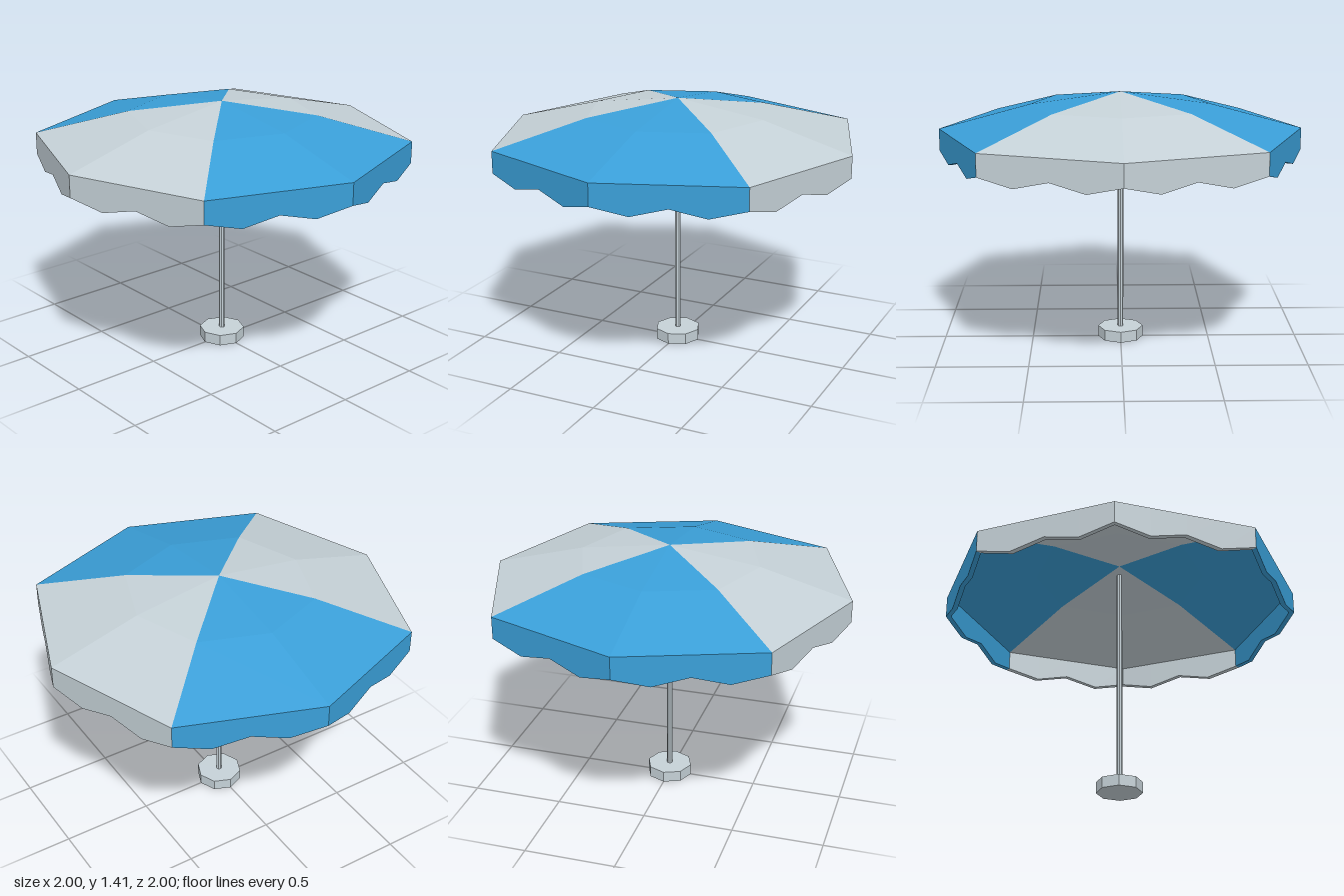
import * as THREE from 'three';

const blue = new THREE.MeshStandardMaterial({ name: 'blueCanvas', color: 0x3a9fd8, flatShading: true });
const grey = new THREE.MeshStandardMaterial({ name: 'paleGrey', color: 0xc5d1d7, flatShading: true });

// Canopy rings: [scale of the rim, outer height]
const APEX = [0, 1.41], MID = [0.5, 1.34], RIM = [1, 1.205];
const CLOTH = 0.01, HEM = 0.97;          // cloth thickness, inner scale of the valance
const SCALLOPS = [1.083, 1.038, 1.083, 1.038, 1.083];

// Rim corner k of the octagon; the diagonal corners reach slightly further out
function corner(k) {
  const a = (k * Math.PI) / 4;
  const r = k % 2 ? 1.033 : 1;
  return new THREE.Vector3(r * Math.sin(a), 0, r * Math.cos(a));
}

function facetGeometry(faces) {
  const pos = [];
  for (const f of faces) {
    for (let i = 1; i < f.length - 1; i++) {
      for (const p of [f[0], f[i], f[i + 1]]) pos.push(p.x, p.y, p.z);
    }
  }
  const g = new THREE.BufferGeometry();
  g.setAttribute('position', new THREE.Float32BufferAttribute(pos, 3));
  g.computeVertexNormals();
  return g;
}

const at = (p, scale, y) => new THREE.Vector3(p.x * scale, y, p.z * scale);

// One eighth of the roof, with its underside
function roofPanel(k) {
  const l = corner(k), r = corner(k + 1);
  const faces = [];
  for (const inside of [false, true]) {
    const s = inside ? HEM : 1, d = inside ? CLOTH : 0;
    const ring = (p, [scale, y]) => at(p, scale * s, y - d);
    const part = [
      [ring(l, APEX), ring(l, MID), ring(r, MID)],
      [ring(l, MID), ring(l, RIM), ring(r, RIM), ring(r, MID)],
    ];
    for (const f of part) faces.push(inside ? f.reverse() : f);
  }
  return facetGeometry(faces);
}

// Hanging scalloped edge of one panel: outside, inside and lower edge
function valancePanel(k) {
  const l = corner(k), r = corner(k + 1);
  const faces = [];
  const n = SCALLOPS.length - 1;
  for (let i = 0; i < n; i++) {
    const a = l.clone().lerp(r, i / n), b = l.clone().lerp(r, (i + 1) / n);
    const ya = SCALLOPS[i], yb = SCALLOPS[i + 1], top = RIM[1], inTop = RIM[1] - CLOTH;
    faces.push([at(a, 1, ya), at(b, 1, yb), at(b, 1, top), at(a, 1, top)]);
    faces.push([at(b, HEM, yb), at(a, HEM, ya), at(a, HEM, inTop), at(b, HEM, inTop)]);
    faces.push([at(a, 1, ya), at(a, HEM, ya), at(b, HEM, yb), at(b, 1, yb)]);
  }
  return facetGeometry(faces);
}

function addMesh(parent, name, geometry, material) {
  const m = new THREE.Mesh(geometry, material);
  m.name = name;
  parent.add(m);
  return m;
}

export function createModel() {
  const parasol = new THREE.Group();
  parasol.name = 'parasol';

  // Canopy: blue to the front and back, grey to the sides
  const canopy = new THREE.Group();
  canopy.name = 'canopy';
  parasol.add(canopy);
  for (let k = 0; k < 8; k++) {
    const material = [0, 3, 4, 7].includes(k) ? blue : grey;
    addMesh(canopy, 'roofPanel', roofPanel(k), material);
    addMesh(canopy, 'valance', valancePanel(k), material);
  }

  // Pole and foot
  const pole = addMesh(parasol, 'pole', new THREE.CylinderGeometry(0.016, 0.016, 1.28, 8), grey);
  pole.position.y = 0.06 + 0.64;
  const base = addMesh(parasol, 'base', new THREE.CylinderGeometry(0.127, 0.127, 0.062, 8), grey);
  base.position.y = 0.031;

  return parasol;
}
